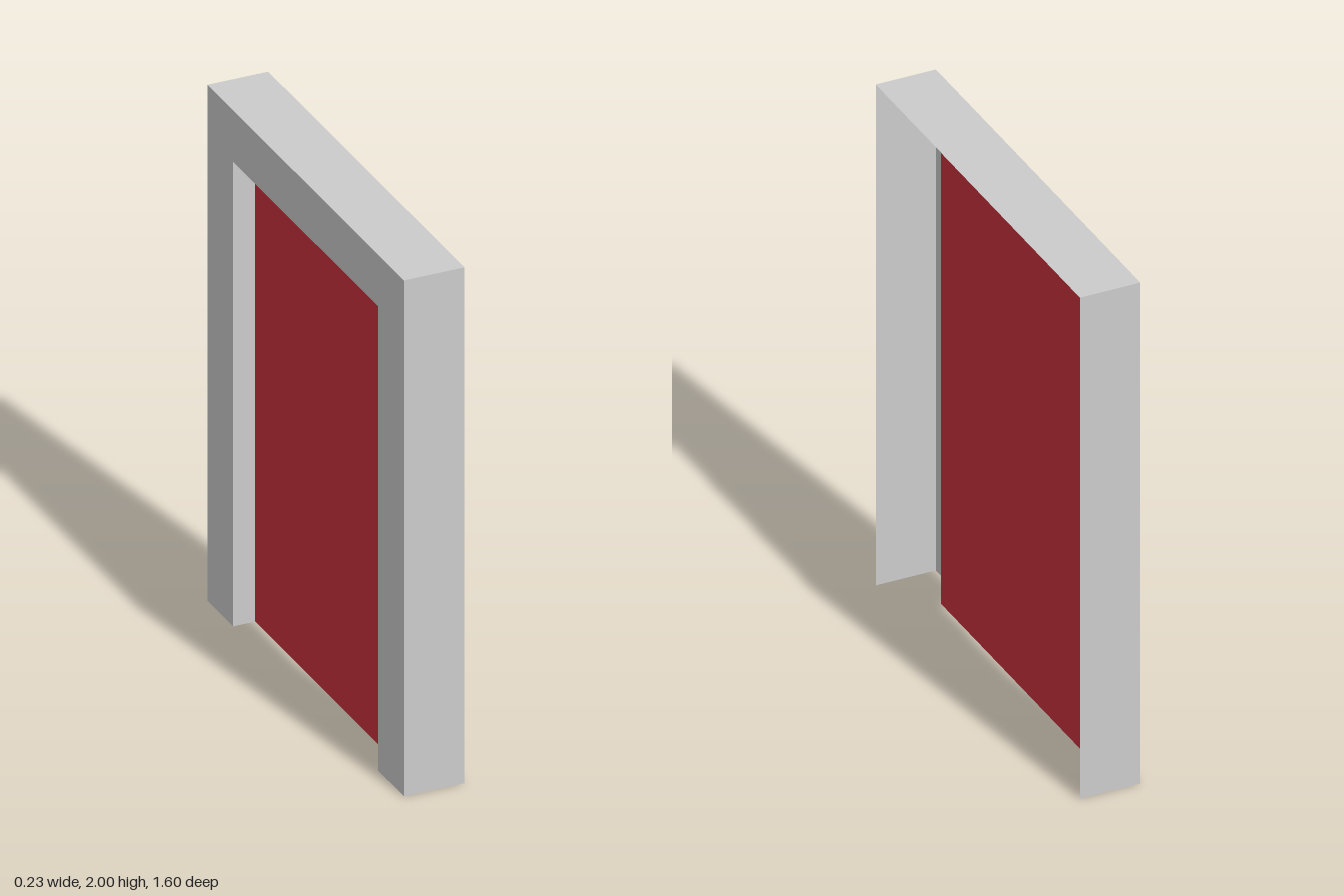
import * as THREE from 'three';

const H = 2, W = 0.8;             // outer height and half width (along z)
const OPEN_H = 1.8, OPEN_W = 0.59; // doorway height and half width
const X0 = -0.115, X1 = 0.115, DOOR_X = -0.032;

const material = (color) =>
  new THREE.MeshStandardMaterial({ color, side: THREE.DoubleSide, flatShading: true });

// Two jambs and a head of thin panels, spanning x from xa to xb
function lining(name, halfWidth, height, xa, xb, mat) {
  const group = new THREE.Group();
  group.name = name;
  const depth = xb - xa, cx = (xa + xb) / 2;
  for (const side of [-1, 1]) {
    const jamb = new THREE.Mesh(new THREE.PlaneGeometry(depth, height), mat);
    if (side < 0) jamb.rotation.y = Math.PI;
    jamb.position.set(cx, height / 2, side * halfWidth);
    jamb.name = side > 0 ? 'frontJamb' : 'backJamb';
    group.add(jamb);
  }
  const head = new THREE.Mesh(new THREE.PlaneGeometry(depth, 2 * halfWidth), mat);
  head.rotation.x = -Math.PI / 2;
  head.position.set(cx, height, 0);
  head.name = 'head';
  group.add(head);
  return group;
}

export function createModel() {
  const model = new THREE.Group();
  model.name = 'doorway';
  const grey = material(0xcccccc);
  const red = material(0xc8323c);

  // Outer casing and the shallow reveal around the door
  model.add(lining('casing', W, H, X0, X1, grey));
  model.add(lining('reveal', OPEN_W, OPEN_H, X0, DOOR_X, grey));

  // U-shaped face joining casing and reveal, on the -x side only
  const outline = new THREE.Shape([
    [-W, 0], [-OPEN_W, 0], [-OPEN_W, OPEN_H], [OPEN_W, OPEN_H],
    [OPEN_W, 0], [W, 0], [W, H], [-W, H],
  ].map(([z, y]) => new THREE.Vector2(z, y)));
  const face = new THREE.Mesh(new THREE.ShapeGeometry(outline), grey);
  face.rotation.y = -Math.PI / 2;
  face.position.x = X0;
  face.name = 'frameFace';
  model.add(face);

  // Door leaf, set back at the inner end of the reveal
  const door = new THREE.Mesh(new THREE.PlaneGeometry(2 * OPEN_W, OPEN_H), red);
  door.rotation.y = -Math.PI / 2;
  door.position.set(DOOR_X, OPEN_H / 2, 0);
  door.name = 'door';
  model.add(door);

  return model;
}
